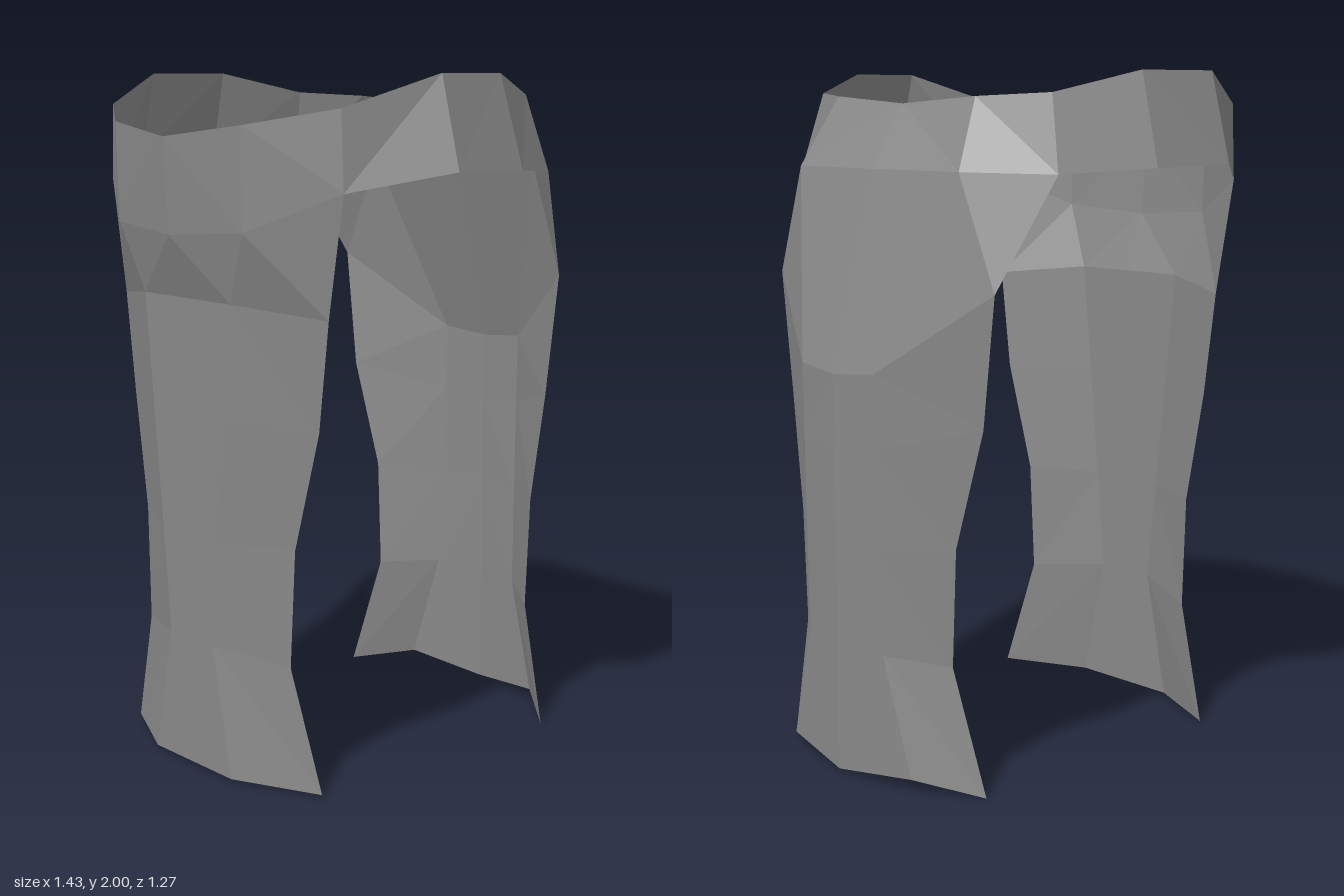
import * as THREE from 'three';

const material = new THREE.MeshStandardMaterial({ color: 0x888888, flatShading: true, side: THREE.DoubleSide });

// Cloth panel from rows (top to bottom); each row is half a section, from the centre line to the +x edge.
// side = 1 for cloth facing the front, -1 for cloth facing the back.
function clothPanel(name, halfRows, side) {
  const rows = halfRows.map((half) => {
    const mirrored = half.filter((p) => p[0] > 0).map(([x, y, z]) => [-x, y, z]).reverse();
    const row = [...mirrored, ...half];
    return side > 0 ? row : row.reverse();
  });
  const positions = [];
  for (let i = 0; i < rows.length - 1; i++) {
    const n = rows[i].length;
    for (let j = 0; j < n - 1; j++) {
      const a = rows[i][j], b = rows[i][j + 1], c = rows[i + 1][j + 1], d = rows[i + 1][j];
      // diagonals run down and outwards from the centre line
      if (j < (n - 1) / 2) positions.push(...a, ...d, ...b, ...b, ...d, ...c);
      else positions.push(...a, ...d, ...c, ...a, ...c, ...b);
    }
  }
  const geometry = new THREE.BufferGeometry();
  geometry.setAttribute('position', new THREE.Float32BufferAttribute(positions, 3));
  geometry.computeVertexNormals();
  const mesh = new THREE.Mesh(geometry, material);
  mesh.name = name;
  return mesh;
}

export function createModel() {
  const group = new THREE.Group();
  group.name = 'waistCloth';

  // Band round the back and sides, meeting the front flap at its edges
  group.add(clothPanel('waistBand', [
    [[0, 1.91, -0.375], [0.3, 1.93, -0.37], [0.5, 1.94, -0.275], [0.615, 2, -0.05], [0.645, 2, 0.2], [0.52, 1.91, 0.44]],
    [[0, 1.73, -0.49], [0.35, 1.73, -0.475], [0.56, 1.725, -0.31], [0.69, 1.74, -0.065], [0.713, 1.745, 0.2], [0.53, 1.69, 0.44]],
  ], -1));

  // Front flap, including the front of the band
  group.add(clothPanel('frontFlap', [
    [[0, 1.83, 0.635], [0.29, 1.865, 0.59], [0.52, 1.91, 0.44]],
    [[0, 1.56, 0.62], [0.285, 1.58, 0.585], [0.53, 1.69, 0.44]],
    [[0, 1.38, 0.56], [0.2, 1.38, 0.56], [0.47, 1.35, 0.44]],
    [[0, 1.04, 0.56], [0.165, 1.04, 0.56], [0.43, 1.04, 0.44]],
    [[0, 0.7, 0.56], [0.13, 0.7, 0.56], [0.35, 0.7, 0.46]],
    [[0, 0.39, 0.56], [0.1, 0.39, 0.56], [0.335, 0.36, 0.465]],
    [[0, 0.01, 0.56], [0.18, 0.01, 0.56], [0.44, 0.01, 0.44]],
  ], 1));

  // Back flap, hanging from the band and flaring outwards
  group.add(clothPanel('backFlap', [
    [[0, 1.73, -0.49], [0.35, 1.73, -0.475], [0.56, 1.725, -0.31]],
    [[0, 1.165, -0.635], [0.16, 1.18, -0.623], [0.475, 1.41, -0.46]],
    [[0, 0.95, -0.635], [0.16, 0.97, -0.62], [0.43, 1.04, -0.46]],
    [[0, 0.68, -0.635], [0.165, 0.68, -0.613], [0.35, 0.7, -0.49]],
    [[0, 0.38, -0.635], [0.17, 0.38, -0.605], [0.335, 0.36, -0.49]],
    [[0, 0.01, -0.635], [0.27, 0.04, -0.59], [0.44, 0, -0.46]],
  ], -1));

  return group;
}
